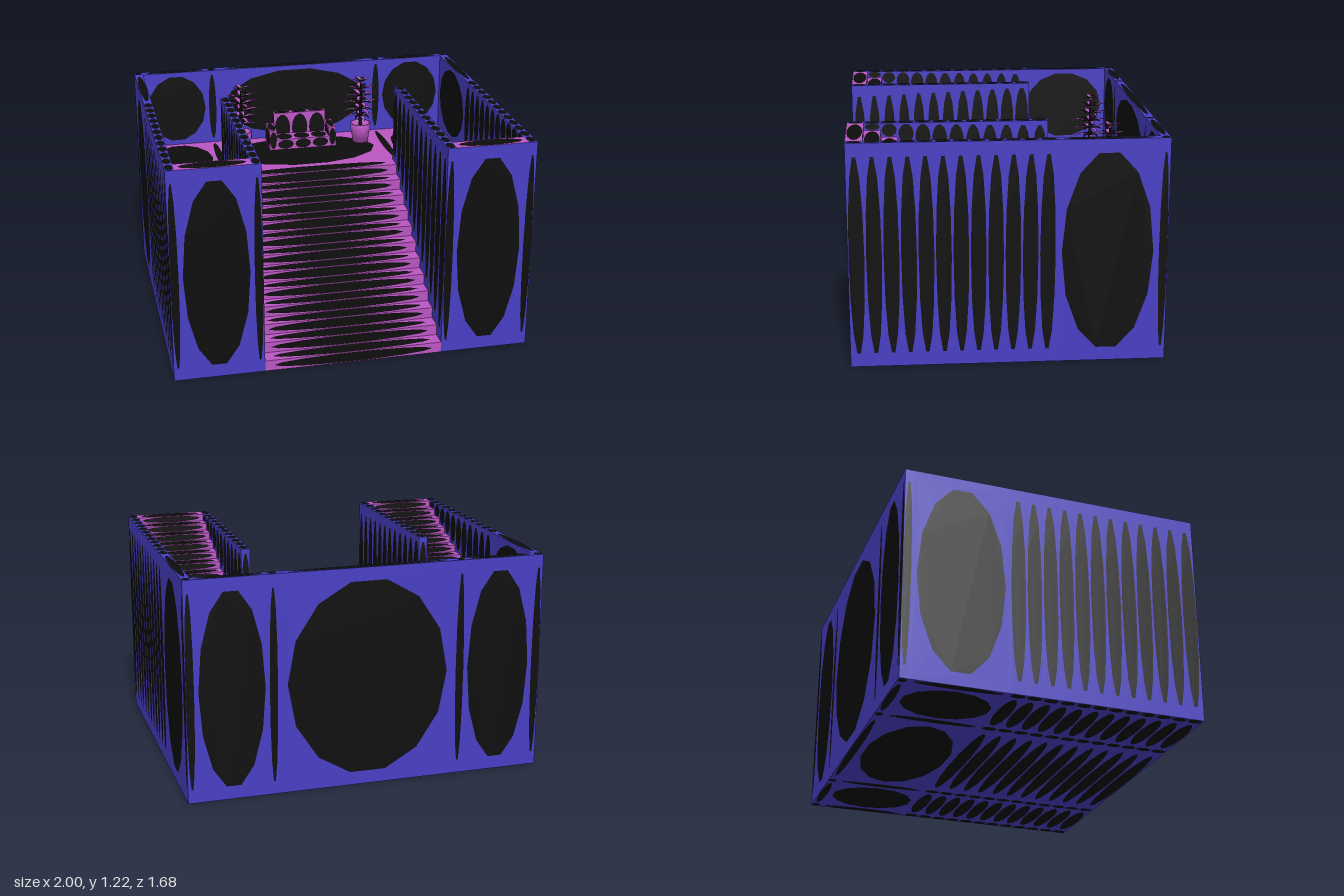
import * as THREE from 'three';
import { mergeGeometries } from 'three/addons/utils/BufferGeometryUtils.js';

const COLORS = { blue: 0x483ec4, purple: 0xbb55c4, dark: 0x0d0d0d };
const materials = {};
for (const k in COLORS) {
  materials[k] = new THREE.MeshStandardMaterial({ color: COLORS[k], side: THREE.DoubleSide });
}
const V = (x, y, z) => new THREE.Vector3(x, y, z);

// In-plane axes for each facing direction (u x v = normal)
const AXES = {
  '+y': [V(1, 0, 0), V(0, 0, -1)], '-y': [V(1, 0, 0), V(0, 0, 1)],
  '+z': [V(1, 0, 0), V(0, 1, 0)], '-z': [V(-1, 0, 0), V(0, 1, 0)],
  '+x': [V(0, 0, -1), V(0, 1, 0)], '-x': [V(0, 0, 1), V(0, 1, 0)],
};

// Collects geometry by part and colour, merged at the end
function makeStore() {
  const parts = new Map();
  return {
    add(part, color, geo) {
      if (!parts.has(part)) parts.set(part, {});
      const p = parts.get(part);
      (p[color] ||= []).push(geo.index ? geo.toNonIndexed() : geo);
    },
    build(group) {
      for (const [name, colors] of parts) {
        const g = new THREE.Group();
        g.name = name;
        for (const c in colors) {
          const m = new THREE.Mesh(mergeGeometries(colors[c]), materials[c]);
          m.name = name + (c === 'dark' ? 'Panels' : 'Frame');
          g.add(m);
        }
        group.add(g);
      }
    },
  };
}

// A rectangle: coloured frame around a dark oval panel
function panel(store, part, color, center, w, h, dir) {
  const [u, v] = AXES[dir];
  const oval = [];
  for (let i = 0; i < 14; i++) {
    const a = (i / 14) * Math.PI * 2;
    oval.push(new THREE.Vector2(Math.cos(a) * w * 0.45, Math.sin(a) * h * 0.45));
  }
  const frame = new THREE.Shape([[-1, -1], [1, -1], [1, 1], [-1, 1]]
    .map(([a, b]) => new THREE.Vector2(a * w / 2, b * h / 2)));
  frame.holes.push(new THREE.Path(oval));
  const m = new THREE.Matrix4().makeBasis(u, v, u.clone().cross(v)).setPosition(center);
  store.add(part, color, new THREE.ShapeGeometry(frame).applyMatrix4(m));
  store.add(part, 'dark', new THREE.ShapeGeometry(new THREE.Shape(oval)).applyMatrix4(m));
}

// A box covered in panels, split into columns along x
function panelBox(store, part, color, x0, x1, y0, y1, z0, z1, cols) {
  const w = (x1 - x0) / cols, h = y1 - y0, d = z1 - z0;
  const y = (y0 + y1) / 2, z = (z0 + z1) / 2;
  for (let i = 0; i < cols; i++) {
    const x = x0 + w * (i + 0.5);
    panel(store, part, color, V(x, y1, z), w, d, '+y');
    panel(store, part, color, V(x, y, z1), w, h, '+z');
    panel(store, part, color, V(x, y, z0), w, h, '-z');
  }
  panel(store, part, color, V(x1, y, z), d, h, '+x');
  panel(store, part, color, V(x0, y, z), d, h, '-x');
}

const TOP = 1.22, LANDING = 0.75, STEPS = 12;

// Walls, landing and all stairs as a grid of column heights
function buildStructure(store) {
  const xs = [-1, -0.95, -0.55, -0.5, 0.5, 0.55, 0.95, 1];
  const zs = [-0.84, -0.79];
  for (let k = 0; k <= STEPS; k++) zs.push(-0.25 + (1.09 * k) / STEPS);
  const nx = xs.length - 1, nz = zs.length - 1;
  const height = (i, j) => {
    if (i < 0 || j < 0 || i >= nx || j >= nz) return 0;
    if (i === 0 || i === 6 || j === 0) return TOP;
    if (j === 1) return LANDING;
    const k = j - 1;
    if (i === 3) return LANDING * (1 - (k - 1) / STEPS);
    if (i === 1 || i === 5) return LANDING + ((TOP - LANDING) * k) / STEPS;
    return TOP;
  };
  const partOf = (i, j) => {
    if (i === 0 || i === 6) return 'outerWall';
    if (j === 0) return 'backWall';
    if (j === 1) return 'landing';
    return i === 3 ? 'mainStairs' : i === 1 || i === 5 ? 'sideStairs' : 'innerWall';
  };
  for (let i = 0; i < nx; i++) {
    for (let j = 0; j < nz; j++) {
      const h = height(i, j), part = partOf(i, j);
      const w = xs[i + 1] - xs[i], d = zs[j + 1] - zs[j];
      const x = xs[i] + w / 2, z = zs[j] + d / 2;
      const walk = !part.endsWith('Wall');
      panel(store, part, walk ? 'purple' : 'blue', V(x, h, z), w, d, '+y');
      panel(store, 'underside', 'blue', V(x, 0, z), w, d, '-y');
      const sides = [['+x', 1, 0], ['-x', -1, 0], ['+z', 0, 1], ['-z', 0, -1]];
      for (const [dir, a, b] of sides) {
        const low = height(i + a, j + b);
        if (low >= h - 1e-6) continue;
        const riser = b !== 0 && (part === 'mainStairs' || (part === 'sideStairs' && b < 0));
        panel(store, part, riser ? 'purple' : 'blue',
          V(x + (a * w) / 2, (low + h) / 2, z + (b * d) / 2), a ? d : w, h - low, dir);
      }
    }
  }
}

// Sofa with seat, backrest and two arms
function buildSofa(store) {
  const y = LANDING;
  panelBox(store, 'sofaSeat', 'purple', -0.16, 0.17, y, 0.815, -0.67, -0.56, 3);
  panelBox(store, 'sofaBack', 'purple', -0.16, 0.17, y, 0.95, -0.715, -0.67, 3);
  for (const x of [-0.205, 0.17]) {
    panelBox(store, 'sofaArm', 'purple', x, x + 0.045, y, 0.875, -0.715, -0.56, 1);
  }
}

// Thin pointed leaf arching outward from the stem
function leaf(len, droop) {
  const g = new THREE.PlaneGeometry(1, 1, 2, 5);
  const p = g.attributes.position;
  for (let i = 0; i < p.count; i++) {
    const t = p.getY(i) + 0.5, s = p.getX(i) * 2;
    const half = 0.013 * Math.sin(Math.PI * (0.12 + 0.88 * t));
    p.setXYZ(i, len * t, 0.05 * t - droop * t * t + Math.abs(s) * half * 0.4, s * half);
  }
  g.computeVertexNormals();
  return g;
}

// Potted plant: rimmed pot, stem and tiers of leaves
function buildPlant(store, x, z) {
  const pot = new THREE.LatheGeometry([[0, 0], [0.05, 0], [0.058, 0.07], [0.065, 0.075],
    [0.065, 0.12], [0.056, 0.12], [0.054, 0.105], [0, 0.105]]
    .map(([r, y]) => new THREE.Vector2(r, y)), 12);
  store.add('plantPot', 'purple', pot.translate(x, LANDING, z));
  const stem = new THREE.CylinderGeometry(0.004, 0.012, 0.28, 6);
  store.add('plantStem', 'dark', stem.translate(x, 0.99, z));
  const tiers = 6;
  for (let t = 0; t < tiers; t++) {
    const f = t / (tiers - 1);
    const len = 0.05 + 0.08 * Math.sin(Math.PI * (0.25 + 0.7 * f));
    for (let k = 0; k < 8; k++) {
      const g = leaf(k % 2 ? len * 0.65 : len, 0.05 - 0.03 * f);
      g.rotateY((k / 8) * Math.PI * 2 + (t % 2) * 0.2);
      store.add('plantLeaves', k % 2 ? 'dark' : 'purple', g.translate(x, 0.91 + 0.22 * f, z));
    }
  }
}

export function createModel() {
  const group = new THREE.Group();
  group.name = 'staircaseHall';
  const store = makeStore();
  buildStructure(store);
  buildSofa(store);
  for (const x of [-0.375, 0.385]) buildPlant(store, x, -0.615);
  store.build(group);
  return group;
}
